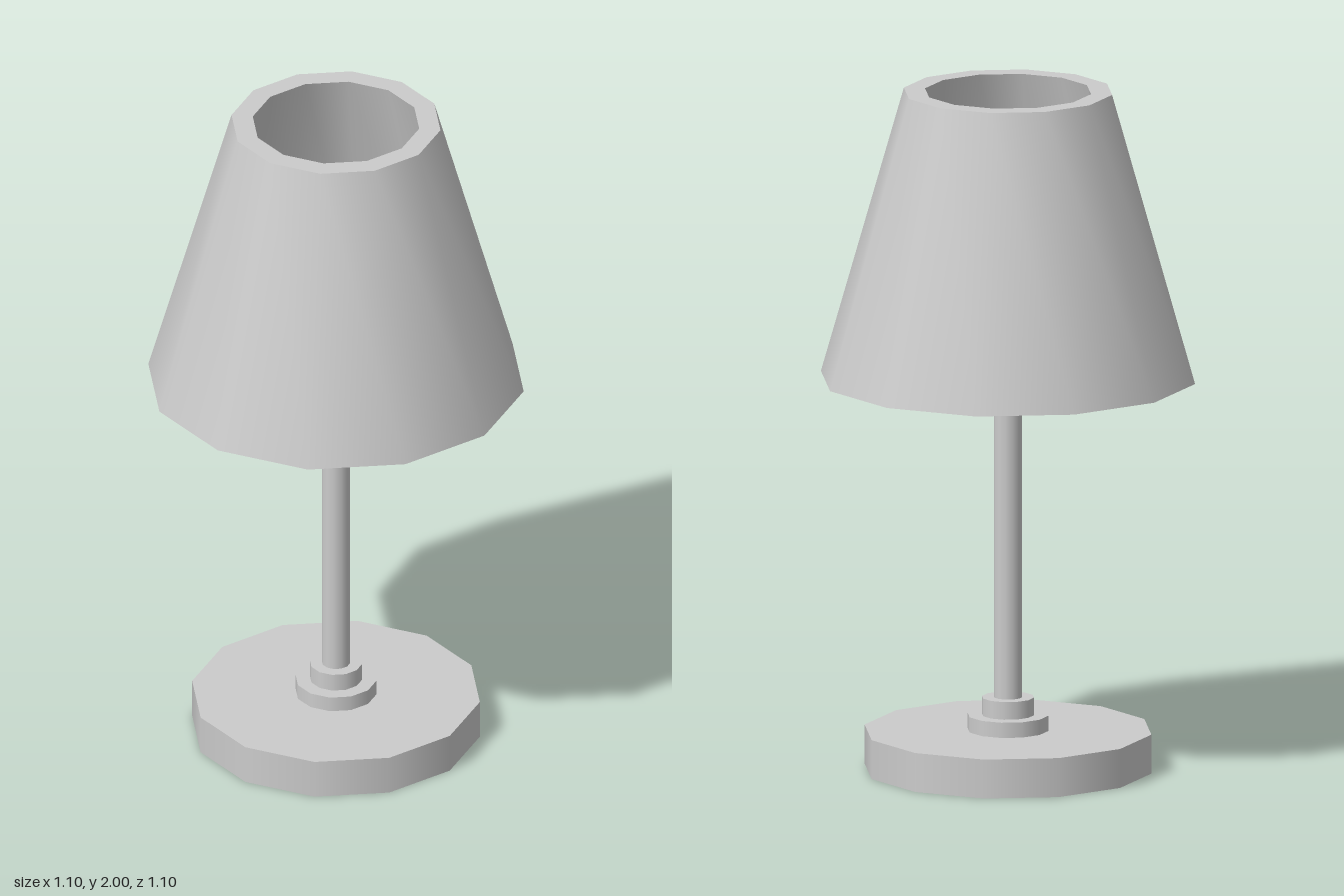
import * as THREE from 'three';
import { mergeGeometries } from 'three/addons/utils/BufferGeometryUtils.js';

const SIDES = 12;

// Revolve each profile segment separately: smooth around, sharp between segments
function turned(name, profile) {
  const bands = [];
  for (let i = 0; i < profile.length - 1; i++) {
    const pair = [profile[i], profile[i + 1]].map(([r, y]) => new THREE.Vector2(r, y));
    bands.push(new THREE.LatheGeometry(pair, SIDES));
  }
  const material = new THREE.MeshStandardMaterial({ color: 0xcccccc, side: THREE.DoubleSide });
  const mesh = new THREE.Mesh(mergeGeometries(bands), material);
  mesh.name = name;
  return mesh;
}

export function createModel() {
  const lamp = new THREE.Group();
  lamp.name = 'tableLamp';

  // Hollow base, open underneath
  lamp.add(turned('base', [[0.42, 0], [0.42, 0.115], [0.118, 0.115]]));

  // Two stepped collars around the foot of the pole
  lamp.add(turned('collar', [[0.118, 0.115], [0.118, 0.16], [0.076, 0.16], [0.076, 0.212], [0.041, 0.212]]));

  // Open tube rising into the shade
  lamp.add(turned('pole', [[0.041, 0.212], [0.041, 1.6]]));

  // Thick-walled tapered shade, open at both ends
  lamp.add(turned('shade', [[0.548, 1.155], [0.305, 2], [0.243, 2], [0.473, 1.155], [0.548, 1.155]]));

  return lamp;
}
